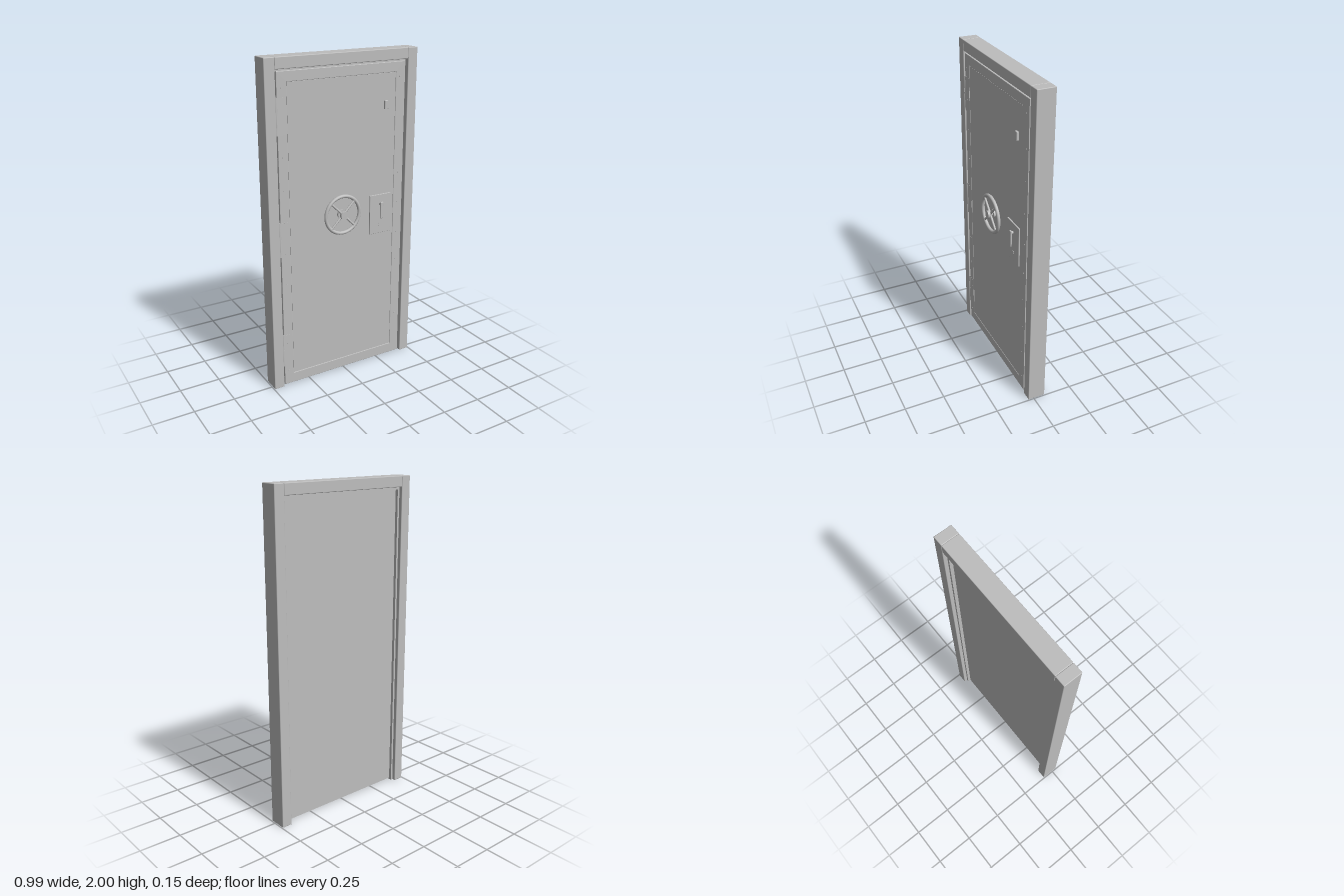
import * as THREE from 'three';
import { RoundedBoxGeometry } from 'three/addons/geometries/RoundedBoxGeometry.js';

export function createModel() {
  const root = new THREE.Group();
  root.name = 'vaultDoor';
  const steel = new THREE.MeshStandardMaterial({ color: 0xbdbdbd });
  steel.name = 'steel grey';

  const add = (parent, name, geometry, x = 0, y = 0, z = 0) => {
    const mesh = new THREE.Mesh(geometry, steel);
    mesh.name = name;
    mesh.position.set(x, y, z);
    parent.add(mesh);
    return mesh;
  };
  const group = (name) => {
    const g = new THREE.Group();
    g.name = name;
    root.add(g);
    return g;
  };
  // Block given by its limits, with an optional rounded edge
  const block = (parent, name, x0, x1, y0, y1, z0, z1, r = 0) => {
    const s = [x1 - x0, y1 - y0, z1 - z0];
    const g = r ? new RoundedBoxGeometry(...s, 2, r) : new THREE.BoxGeometry(...s);
    return add(parent, name, g, (x0 + x1) / 2, (y0 + y1) / 2, (z0 + z1) / 2);
  };
  // Disc or shaft lying along z
  const disc = (parent, name, r, x, y, z0, z1, sides = 24) => {
    const g = new THREE.CylinderGeometry(r, r, z1 - z0, sides).rotateX(Math.PI / 2);
    return add(parent, name, g, x, y, (z0 + z1) / 2);
  };

  // Surrounding frame with a stepped stop behind the door
  const frame = group('frame');
  block(frame, 'rightJamb', -0.495, -0.431, 0, 2, -0.075, 0.035, 0.004);
  block(frame, 'leftJamb', 0.431, 0.495, 0, 2, -0.075, 0.035, 0.004);
  block(frame, 'header', -0.431, 0.431, 1.935, 2, -0.075, 0.035, 0.004);
  block(frame, 'rightStop', -0.432, -0.418, 0, 1.935, -0.052, 0.005);
  block(frame, 'leftStop', 0.418, 0.432, 0, 1.935, -0.052, 0.005);
  block(frame, 'headerStop', -0.43, 0.43, 1.92, 1.936, -0.052, 0.005);

  // Door leaf: core, raised border and front sheet
  const door = group('door');
  block(door, 'core', -0.417, 0.412, 0.01, 1.922, -0.035, 0.024);
  const rect = (path, x0, x1, y0, y1) =>
    path.moveTo(x0, y0).lineTo(x1, y0).lineTo(x1, y1).lineTo(x0, y1).closePath();
  const border = new THREE.Shape();
  rect(border, -0.42, 0.41, 0.013, 1.922);
  const opening = new THREE.Path();
  rect(opening, -0.365, 0.353, 0.073, 1.868);
  border.holes.push(opening);
  add(door, 'border', new THREE.ExtrudeGeometry(border, {
    depth: 0.003, bevelEnabled: true, bevelThickness: 0.003, bevelSize: 0.003, bevelSegments: 2,
  }), 0, 0, 0.024);
  block(door, 'frontSheet', -0.361, 0.349, 0.077, 1.864, 0.02, 0.028);

  // Rivets down both sides of the border
  for (const x of [-0.394, 0.381]) {
    for (let i = 0; i < 10; i++) {
      disc(door, 'rivet', 0.006, x, 0.1 + i * 0.193, 0.029, 0.0315, 12);
    }
  }

  // Three hinges: leaf plate, barrel and joint ring
  for (const y of [0.245, 0.965, 1.68]) {
    const hinge = group('hinge');
    block(hinge, 'leaf', -0.425, -0.365, y - 0.105, y + 0.105, 0.024, 0.031);
    add(hinge, 'barrel', new THREE.CylinderGeometry(0.007, 0.007, 0.21, 16), -0.426, y, 0.026);
    add(hinge, 'joint', new THREE.CylinderGeometry(0.008, 0.008, 0.01, 16), -0.426, y, 0.026);
  }

  // Handwheel with four diagonal spokes
  const wheel = group('handwheel');
  wheel.position.set(-0.023, 1.057, 0);
  disc(wheel, 'base', 0.026, 0, 0, 0.026, 0.04);
  disc(wheel, 'shaft', 0.014, 0, 0, 0.03, 0.065);
  disc(wheel, 'hub', 0.024, 0, 0, 0.06, 0.075);
  add(wheel, 'rim', new THREE.TorusGeometry(0.114, 0.0105, 12, 64), 0, 0, 0.05);
  for (let i = 0; i < 4; i++) {
    const a = Math.PI / 4 + i * Math.PI / 2;
    const spoke = add(wheel, 'spoke', new THREE.CylinderGeometry(0.006, 0.007, 0.104, 12),
      Math.cos(a) * 0.062, Math.sin(a) * 0.062, 0.053);
    spoke.rotation.z = a - Math.PI / 2;
  }

  // Lock plate with pull handle and key cylinder
  const lock = group('lock');
  block(lock, 'plate', 0.178, 0.328, 0.885, 1.135, 0.026, 0.036, 0.002);
  block(lock, 'handle', 0.243, 0.263, 0.985, 1.09, 0.046, 0.056, 0.004);
  disc(lock, 'handlePost', 0.009, 0.253, 1.075, 0.034, 0.05, 16);
  disc(lock, 'keyCylinder', 0.015, 0.253, 0.94, 0.034, 0.038);

  // Small viewer box near the top corner
  block(root, 'viewer', 0.27, 0.295, 1.655, 1.705, 0.026, 0.041, 0.002);

  return root;
}
